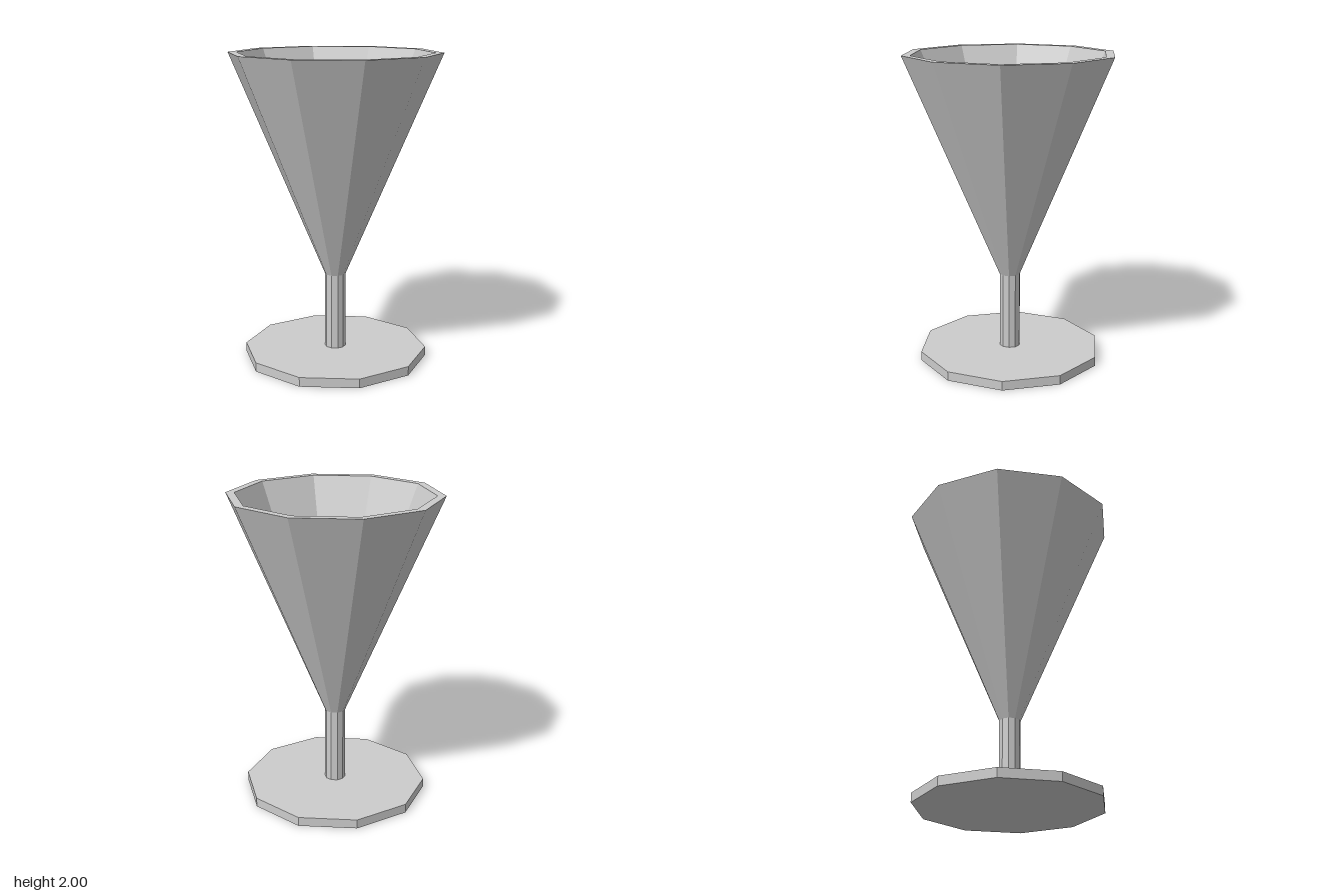
import * as THREE from 'three';

const SIDES = 10;

export function createModel() {
  const group = new THREE.Group();
  const material = new THREE.MeshStandardMaterial({ color: 0xcccccc, flatShading: true });

  function add(name, geometry, y = 0) {
    const mesh = new THREE.Mesh(geometry, material);
    mesh.name = name;
    mesh.position.y = y;
    group.add(mesh);
  }

  // Ten-sided prism with corners on the x axis
  const prism = (radius, height) =>
    new THREE.CylinderGeometry(radius, radius, height, SIDES, 1, false, Math.PI / 2);

  // Foot and stem
  add('foot', prism(0.6, 0.06), 0.03);
  add('stem', prism(0.068, 0.5), 0.31);

  // Hollow conical bowl: outer wall, flat rim, inner wall, inner floor
  const profile = [[0, 0.56], [0.068, 0.56], [0.68, 2], [0.625, 2], [0.08, 0.71], [0, 0.71]]
    .map(([r, y]) => new THREE.Vector2(r, y));
  add('bowl', new THREE.LatheGeometry(profile, SIDES, Math.PI / 2));

  return group;
}
